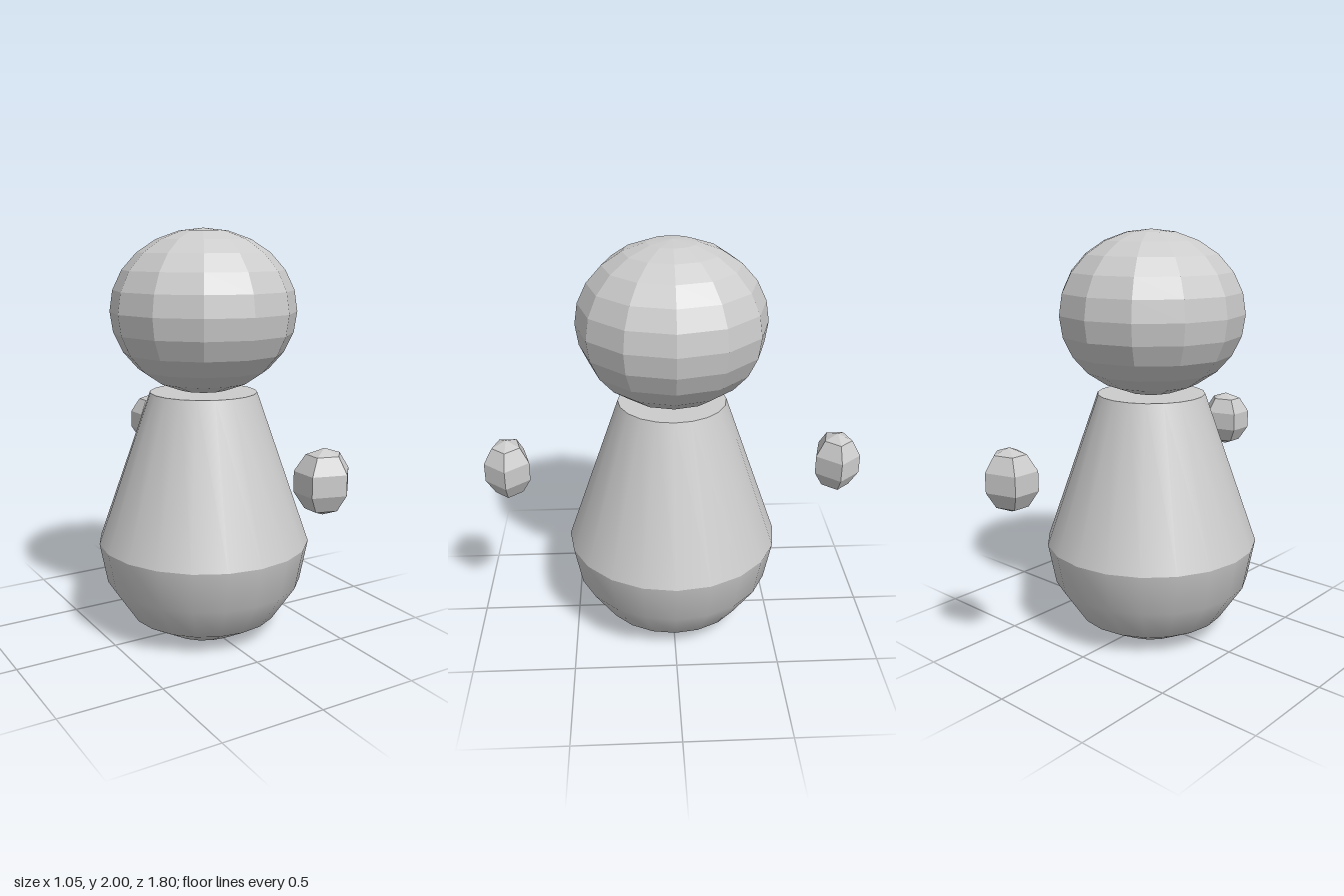
import * as THREE from 'three';

const smooth = new THREE.MeshStandardMaterial({ color: 0xcccccc, side: THREE.DoubleSide });
const faceted = new THREE.MeshStandardMaterial({ color: 0xcccccc, flatShading: true });

// surface of revolution from [radius, height] pairs, bottom to top
function lathe(name, profile) {
  const points = profile.map(([r, y]) => new THREE.Vector2(r, y));
  const mesh = new THREE.Mesh(new THREE.LatheGeometry(points, 20), smooth);
  mesh.name = name;
  return mesh;
}

// low-poly ball stretched to the given radii
function ball(name, sides, rows, radii, position) {
  const geometry = new THREE.SphereGeometry(1, sides, rows);
  geometry.rotateY(Math.PI).scale(...radii).translate(...position);
  const mesh = new THREE.Mesh(geometry, faceted);
  mesh.name = name;
  return mesh;
}

export function createModel() {
  const model = new THREE.Group();
  model.name = 'figure';

  // body: rounded base, tapering torso and flat neck, with sharp edges between
  const body = new THREE.Group();
  body.name = 'body';
  body.add(
    lathe('base', [[0, 0.012], [0.2, 0.004], [0.37, 0.1], [0.487, 0.275], [0.525, 0.475]]),
    lathe('torso', [[0.525, 0.475], [0.263, 1.222]]),
    lathe('neckTop', [[0.263, 1.222], [0, 1.222]]),
  );
  model.add(body);

  // head
  model.add(ball('head', 12, 12, [0.45, 0.39, 0.45], [0, 1.61, 0]));

  // floating hands, in front and behind
  for (const [name, side] of [['frontHand', 1], ['backHand', -1]]) {
    model.add(ball(name, 5, 5, [0.141, 0.147, 0.118], [0.129, 0.936, side * 0.793]));
  }
  return model;
}
